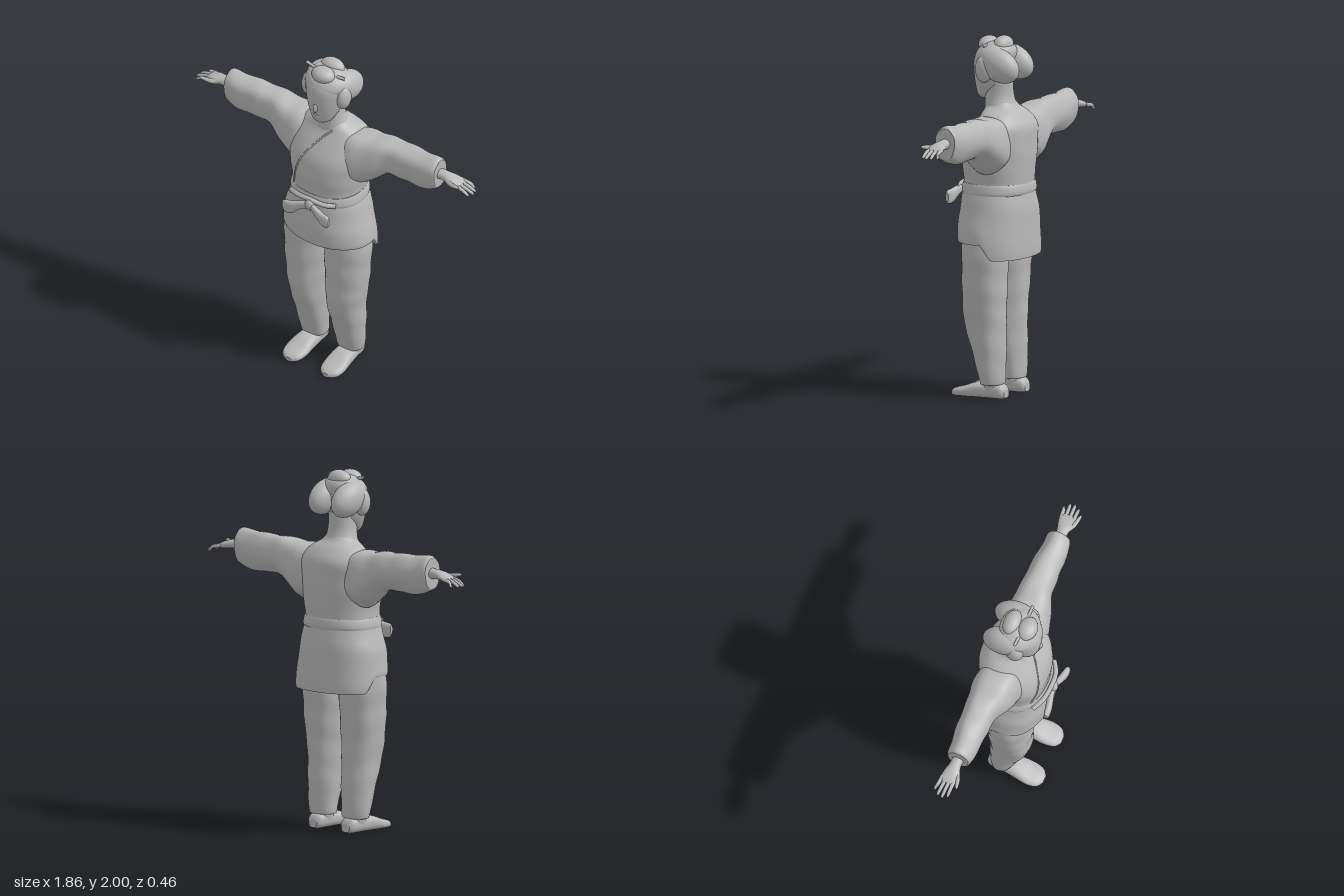
import * as THREE from 'three';

const AXES = { x: [0, 1, 2], y: [1, 2, 0], z: [2, 0, 1] };

function cubic(a, b, c, d, t) {
  return 0.5 * (2 * b + (c - a) * t + (2 * a - 5 * b + 4 * c - d) * t * t + (3 * b - a - 3 * c + d) * t * t * t);
}

// Smooth skin over elliptical rows [t, centreU, centreV, radiusU, radiusV].
// Along y: u = z, v = x. Along x: u = y, v = z. Along z: u = x, v = y.
function loft(axis, rows, { n = 2, seg = 28, sub = 5, fold = 0 } = {}) {
  const [T, U, V] = AXES[axis];
  const at = i => rows[Math.max(0, Math.min(rows.length - 1, i))];
  const rings = [];
  for (let i = 0; i < rows.length - 1; i++) {
    for (let s = 0; s < sub; s++) {
      rings.push(rows[0].map((_, k) => cubic(at(i - 1)[k], at(i)[k], at(i + 1)[k], at(i + 2)[k], s / sub)));
    }
  }
  rings.push(at(rows.length));
  const pos = [], index = [];
  const put = (t, u, v) => {
    const p = [0, 0, 0];
    p[T] = t; p[U] = u; p[V] = v;
    pos.push(...p);
    return pos.length / 3 - 1;
  };
  const ring = ([t, cu, cv, ru, rv]) => {
    const first = pos.length / 3;
    for (let j = 0; j < seg; j++) {
      const a = j / seg * Math.PI * 2, c = Math.cos(a), s = Math.sin(a);
      const r = 1 + fold * Math.sin(3 * a + 17 * t) * Math.cos(2 * a - 23 * t);
      put(t, cu + r * ru * Math.sign(c) * Math.abs(c) ** (2 / n), cv + r * rv * Math.sign(s) * Math.abs(s) ** (2 / n));
    }
    return first;
  };
  const starts = rings.map(ring);
  for (let i = 0; i < starts.length - 1; i++) {
    for (let j = 0; j < seg; j++) {
      const k = (j + 1) % seg, a = starts[i], b = starts[i + 1];
      index.push(a + j, a + k, b + k, a + j, b + k, b + j);
    }
  }
  // closed ends
  for (const [r, flip] of [[rings[0], true], [rings[rings.length - 1], false]]) {
    const f = ring(r), c = put(r[0], r[1], r[2]);
    for (let j = 0; j < seg; j++) {
      const k = (j + 1) % seg;
      index.push(c, f + (flip ? k : j), f + (flip ? j : k));
    }
  }
  const g = new THREE.BufferGeometry();
  g.setAttribute('position', new THREE.Float32BufferAttribute(pos, 3));
  g.setIndex(index);
  g.computeVertexNormals();
  return g;
}

function mirrored(geo) {
  const g = geo.clone().scale(-1, 1, 1), a = g.index.array;
  for (let i = 0; i < a.length; i += 3) [a[i], a[i + 1]] = [a[i + 1], a[i]];
  g.computeVertexNormals();
  return g;
}

const blob = (rx, ry, rz, x, y, z, tilt = 0) =>
  new THREE.SphereGeometry(1, 32, 20).scale(rx, ry, rz).rotateX(tilt).translate(x, y, z);

const tube = (pts, r) =>
  new THREE.TubeGeometry(new THREE.CatmullRomCurve3(pts.map(p => new THREE.Vector3(...p))), 32, r, 8);

export function createModel() {
  const model = new THREE.Group();
  const grey = new THREE.MeshStandardMaterial({ color: 0xb8b8b8 });
  grey.name = 'plain grey';
  const add = (name, geo) => {
    const m = new THREE.Mesh(geo, grey);
    m.name = name;
    model.add(m);
    return m;
  };
  const pair = (name, geo) => {
    add(name + 'Left', geo);
    add(name + 'Right', mirrored(geo));
  };

  // Jacket body, with a longer back panel
  const jacketGeo = loft('y', [
    [0.87, -0.022, 0.008, 0.203, 0.27], [0.9, -0.02, 0.005, 0.206, 0.272], [1.0, -0.02, 0, 0.203, 0.255],
    [1.1, -0.02, 0, 0.192, 0.228], [1.19, -0.02, 0, 0.182, 0.208], [1.3, -0.023, 0, 0.188, 0.222],
    [1.4, -0.03, 0, 0.182, 0.235], [1.5, -0.055, 0, 0.155, 0.225], [1.57, -0.055, 0, 0.112, 0.17],
    [1.61, -0.04, 0, 0.085, 0.105], [1.64, -0.03, 0, 0.075, 0.08],
  ], { n: 2.25, seg: 72, fold: 0.014 });
  const p = jacketGeo.attributes.position;
  for (let i = 0; i < p.count; i++) {
    const y = p.getY(i), drop = Math.max(0, 1.03 - y) / 0.16;
    p.setY(i, y - 0.085 * drop * THREE.MathUtils.smoothstep(-p.getZ(i), 0.04, 0.11));
  }
  jacketGeo.computeVertexNormals();
  const jacket = add('jacket', jacketGeo);

  // Overlapping front edge laid on the chest
  const ray = new THREE.Raycaster();
  const onFront = ([x, y]) => {
    ray.set(new THREE.Vector3(x, y, 1), new THREE.Vector3(0, 0, -1));
    const hit = ray.intersectObject(jacket)[0];
    return [x, y, hit ? hit.point.z : 0.1];
  };
  add('lapelEdge', tube([[0.06, 1.585], [0.025, 1.55], [-0.03, 1.48], [-0.08, 1.4], [-0.11, 1.32], [-0.14, 1.2]].map(onFront), 0.005));

  // Belt and bow
  add('belt', loft('y', [
    [1.135, -0.02, 0, 0.187, 0.219], [1.15, -0.02, 0, 0.192, 0.221], [1.18, -0.02, 0, 0.189, 0.215], [1.195, -0.02, 0, 0.183, 0.209],
  ], { n: 2.25, seg: 64, sub: 3 }));
  add('bowKnot', blob(0.032, 0.035, 0.028, 0.015, 1.145, 0.19));
  add('bowEndLeft', loft('x', [
    [0.015, 1.145, 0.19, 0.022, 0.015], [0.06, 1.13, 0.205, 0.025, 0.018], [0.11, 1.105, 0.215, 0.037, 0.02],
    [0.145, 1.1, 0.22, 0.038, 0.016], [0.16, 1.1, 0.22, 0.024, 0.01],
  ], { n: 2.5 }));
  add('bowEndRight', loft('x', [
    [-0.15, 1.095, 0.215, 0.025, 0.01], [-0.13, 1.088, 0.215, 0.04, 0.016], [-0.09, 1.095, 0.21, 0.04, 0.02],
    [-0.04, 1.125, 0.2, 0.026, 0.018], [0.015, 1.145, 0.19, 0.022, 0.015],
  ], { n: 2.5 }));
  add('bowStrand', tube([[-0.15, 1.145, 0.14], [-0.08, 1.165, 0.175], [0.01, 1.175, 0.185], [0.09, 1.165, 0.175], [0.15, 1.16, 0.14]], 0.014));

  // Sleeves, hands and fingers
  pair('sleeve', loft('x', [
    [0.1, 1.44, -0.05, 0.13, 0.12], [0.2, 1.415, -0.05, 0.16, 0.135], [0.3, 1.45, -0.06, 0.135, 0.115],
    [0.4, 1.488, -0.068, 0.105, 0.09], [0.5, 1.487, -0.07, 0.107, 0.085], [0.63, 1.49, -0.065, 0.108, 0.075],
    [0.69, 1.502, -0.065, 0.098, 0.068], [0.705, 1.505, -0.065, 0.085, 0.06],
  ], { n: 2.2, seg: 40, fold: 0.05 }));
  pair('hand', loft('x', [
    [0.66, 1.505, -0.065, 0.032, 0.032], [0.74, 1.506, -0.068, 0.027, 0.033], [0.79, 1.5, -0.068, 0.023, 0.046],
    [0.83, 1.49, -0.072, 0.018, 0.045], [0.85, 1.485, -0.075, 0.01, 0.035],
  ]));
  for (const [i, tip] of [0.9, 0.925, 0.93, 0.915].entries()) {
    const z0 = -0.108 + i * 0.023, z1 = -0.122 + i * 0.027;
    pair('finger' + (i + 1), loft('x', [
      [0.815, 1.492, z0, 0.012, 0.012], [0.87, 1.482, (z0 + z1) / 2, 0.011, 0.011],
      [tip - 0.012, 1.464, z1, 0.009, 0.009], [tip, 1.458, z1, 0.003, 0.003],
    ], { seg: 10 }));
  }
  pair('thumb', loft('x', [
    [0.755, 1.5, -0.05, 0.015, 0.015], [0.8, 1.5, -0.025, 0.014, 0.013], [0.85, 1.508, -0.012, 0.01, 0.01], [0.87, 1.51, -0.008, 0.003, 0.003],
  ], { seg: 10 }));

  // Trousers
  pair('trouserLeg', loft('y', [
    [0.08, -0.045, 0.122, 0.058, 0.074], [0.1, -0.045, 0.122, 0.066, 0.082], [0.25, -0.027, 0.122, 0.09, 0.094],
    [0.42, 0, 0.124, 0.116, 0.104], [0.55, 0.002, 0.13, 0.12, 0.118], [0.7, 0, 0.133, 0.124, 0.127],
    [0.85, -0.005, 0.135, 0.125, 0.132], [0.98, -0.01, 0.125, 0.125, 0.12],
  ], { n: 2.2, seg: 40, fold: 0.03 }));

  // Ankles and shoes
  pair('ankle', loft('y', [[0.04, -0.045, 0.12, 0.055, 0.055], [0.08, -0.045, 0.12, 0.055, 0.06], [0.12, -0.045, 0.12, 0.05, 0.055]]));
  pair('shoe', loft('z', [
    [-0.13, 0.12, 0.03, 0.03, 0.024], [-0.105, 0.12, 0.042, 0.05, 0.042], [-0.03, 0.121, 0.045, 0.056, 0.045],
    [0.05, 0.124, 0.042, 0.064, 0.042], [0.12, 0.127, 0.03, 0.069, 0.03], [0.175, 0.127, 0.022, 0.055, 0.022], [0.2, 0.125, 0.016, 0.02, 0.012],
  ], { n: 2.5 }));

  // Neck, head and face
  add('neck', loft('y', [[1.57, -0.04, 0, 0.095, 0.12], [1.62, -0.03, 0, 0.085, 0.095], [1.68, -0.02, 0, 0.08, 0.08], [1.77, -0.02, 0, 0.08, 0.078]]));
  add('head', loft('y', [
    [1.65, 0.06, 0, 0.03, 0.035], [1.67, 0.05, 0, 0.056, 0.062], [1.73, 0.025, 0, 0.094, 0.092], [1.8, 0.014, 0, 0.11, 0.112],
    [1.87, 0.01, 0, 0.11, 0.12], [1.92, 0, 0, 0.095, 0.11], [1.96, -0.01, 0, 0.06, 0.075], [1.972, -0.01, 0, 0.02, 0.03],
  ], { seg: 40 }));
  add('nose', blob(0.016, 0.03, 0.016, 0, 1.765, 0.117, -0.2));
  add('lips', blob(0.025, 0.012, 0.012, 0, 1.71, 0.108));

  // Hair: front roll, two drooping lobes, top knot and pins
  add('hairFront', blob(0.132, 0.08, 0.115, 0, 1.89, 0, 0.25));
  pair('hairLobe', blob(0.073, 0.09, 0.128, 0.083, 1.847, -0.062, -0.45));
  pair('hairSide', blob(0.04, 0.075, 0.05, 0.115, 1.825, 0.015));
  add('topKnotFront', blob(0.07, 0.045, 0.055, 0, 1.947, 0.045));
  add('topKnotBack', blob(0.075, 0.052, 0.05, 0, 1.948, -0.045));
  add('hairPin', tube([[-0.13, 1.965, 0.02], [-0.07, 1.95, 0.02], [0.07, 1.95, 0.02], [0.13, 1.955, 0.02]], 0.009));

  return model;
}
